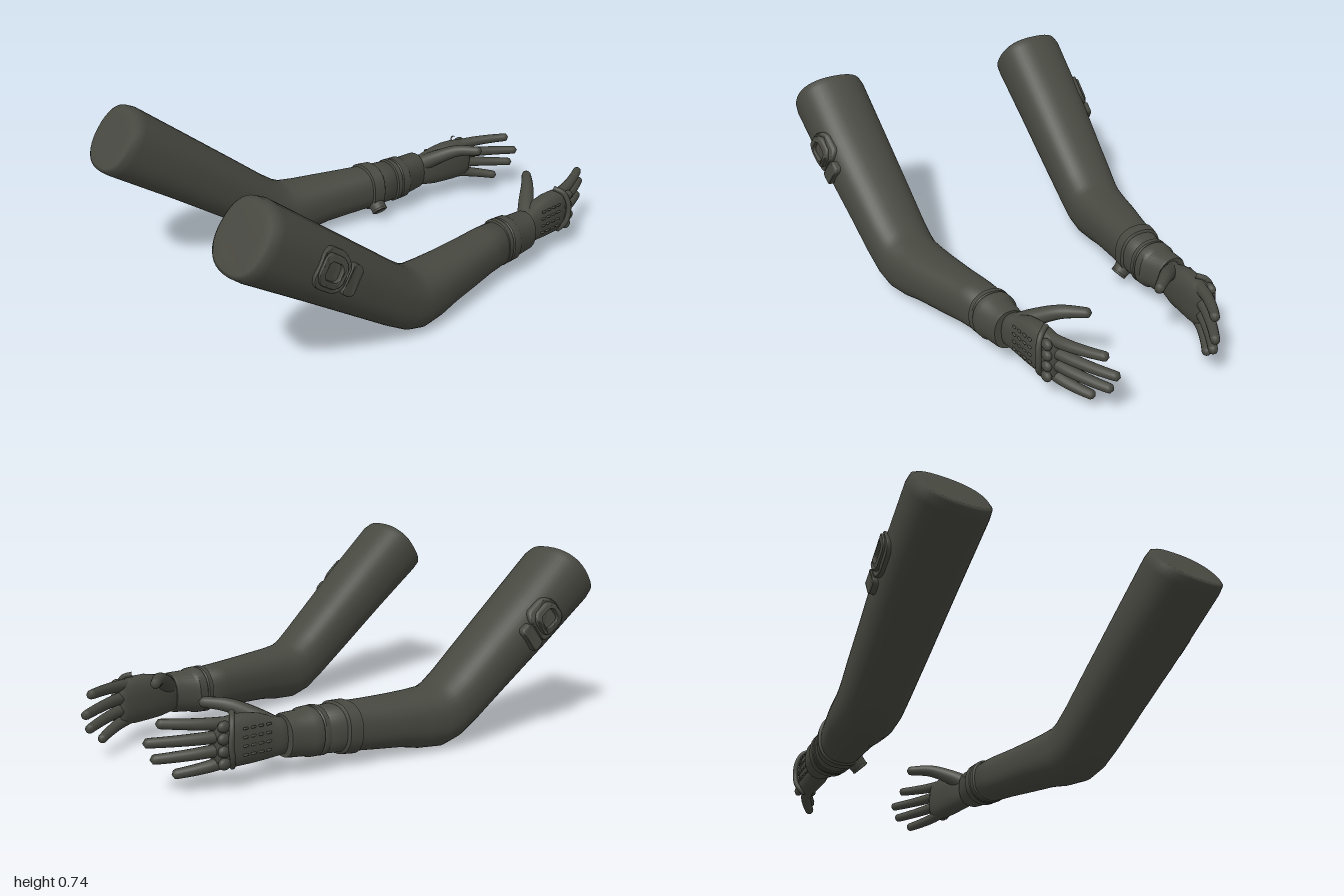
import * as THREE from 'three';
import { mergeVertices, toCreasedNormals } from 'three/addons/utils/BufferGeometryUtils.js';

const darkOlive = new THREE.MeshStandardMaterial({ color: 0x474840 });
darkOlive.name = 'darkOlive';

// Skin over rounded cross-sections: [topZ, topY, bottomZ, bottomY, innerX, outerX]
function loft(sections, power = 2.4, crease = 0) {
  const n = 40, pos = [], idx = [];
  const bend = c => Math.sign(c) * Math.abs(c) ** (2 / power);
  for (const [tz, ty, bz, by, xi, xo] of sections) {
    for (let j = 0; j < n; j++) {
      const t = (j / n) * Math.PI * 2, u = bend(Math.cos(t)), v = bend(Math.sin(t));
      pos.push((xi + xo) / 2 + u * (xo - xi) / 2, (ty + by) / 2 + v * (ty - by) / 2, (tz + bz) / 2 + v * (tz - bz) / 2);
    }
  }
  const last = sections.length - 1;
  for (let i = 0; i < last; i++) {
    for (let j = 0; j < n; j++) {
      const k = (j + 1) % n, a = i * n + j, b = i * n + k, c = a + n, d = b + n;
      idx.push(a, c, b, b, c, d);
    }
  }
  // End caps
  for (const [i, flip] of [[0, false], [last, true]]) {
    const [tz, ty, bz, by, xi, xo] = sections[i], m = pos.length / 3;
    pos.push((xi + xo) / 2, (ty + by) / 2, (tz + bz) / 2);
    for (let j = 0; j < n; j++) {
      const a = i * n + j, b = i * n + (j + 1) % n;
      idx.push(m, flip ? b : a, flip ? a : b);
    }
  }
  const g = new THREE.BufferGeometry();
  g.setAttribute('position', new THREE.Float32BufferAttribute(pos, 3));
  g.setIndex(idx);
  g.computeVertexNormals();
  return crease ? toCreasedNormals(g, crease) : g;
}

// Straight cross-section at one z
const ring = (z, top, bottom, xi, xo) => [z, top, z, bottom, xi, xo];

// Tapered tube with a rounded tip
function digit(points, r0, r1) {
  const rows = 28, sides = 14;
  const curve = new THREE.CatmullRomCurve3(points.map(p => new THREE.Vector3(...p)));
  let g = new THREE.TubeGeometry(curve, rows, 1, sides);
  const p = g.attributes.position, v = new THREE.Vector3(), len = curve.getLength();
  for (let i = 0; i < p.count; i++) {
    const t = Math.floor(i / (sides + 1)) / rows, c = curve.getPointAt(t);
    let r = r0 + (r1 - r0) * t;
    const k = Math.max(0, 1 - (1 - t) * len / r1);
    r *= Math.sqrt(Math.max(0, 1 - k * k));
    v.fromBufferAttribute(p, i).sub(c).multiplyScalar(r).add(c);
    p.setXYZ(i, v.x, v.y, v.z);
  }
  g.deleteAttribute('uv');
  g.deleteAttribute('normal');
  g = mergeVertices(g, 1e-5);
  g.computeVertexNormals();
  return g;
}

function roundRect(w, h, r, Type = THREE.Shape) {
  const s = new Type(), x = w / 2, y = h / 2;
  s.moveTo(-x + r, -y);
  s.lineTo(x - r, -y); s.absarc(x - r, -y + r, r, -Math.PI / 2, 0);
  s.lineTo(x, y - r); s.absarc(x - r, y - r, r, 0, Math.PI / 2);
  s.lineTo(-x + r, y); s.absarc(-x + r, y - r, r, Math.PI / 2, Math.PI);
  s.lineTo(-x, -y + r); s.absarc(-x + r, -y + r, r, Math.PI, Math.PI * 1.5);
  return s;
}

// Plate wrapped onto the outer side of the upper arm; a runs to the elbow, b runs up
function armPlate(shape, a0, b0, height) {
  const g = new THREE.ExtrudeGeometry(shape, { depth: 0.03, bevelEnabled: true, bevelSize: 0.005, bevelThickness: 0.005, bevelSegments: 2, curveSegments: 8 });
  const p = g.attributes.position;
  for (let i = 0; i < p.count; i++) {
    const a = p.getX(i) + a0, b = p.getY(i) + b0;
    const v = Math.min(0.95, Math.abs(b + 0.03) / 0.134);
    const drop = 0.15 * (1 - (1 - v ** 2.4) ** (1 / 2.4));
    p.setXYZ(i, a, b, p.getZ(i) - 0.035 + height - drop * 0.9 - a * 0.08);
  }
  const A = new THREE.Vector3(0, -0.59, -0.807), B = new THREE.Vector3(0, 0.807, -0.59);
  g.applyMatrix4(new THREE.Matrix4().makeBasis(A, B, new THREE.Vector3(1, 0, 0)).setPosition(0.655, 0.485, 0.66));
  g.computeVertexNormals();
  return g;
}

function createArm(side) {
  const arm = new THREE.Group();
  arm.name = side > 0 ? 'leftArm' : 'rightArm';
  const add = (name, g) => {
    if (side < 0) {
      // Mirror and turn the faces back outward
      if (!g.index) g.setIndex([...Array(g.attributes.position.count).keys()]);
      g.scale(-1, 1, 1);
      const ix = g.index.array;
      for (let i = 0; i < ix.length; i += 3) [ix[i], ix[i + 1]] = [ix[i + 1], ix[i]];
      const nm = g.attributes.normal;
      if (nm.getX(0) !== undefined) g.normalizeNormals();
    }
    const m = new THREE.Mesh(g, darkOlive);
    m.name = name;
    arm.add(m);
  };

  // Sleeve from shoulder end through the elbow to the forearm
  add('sleeve', loft([
    [0.872, 0.715, 0.978, 0.565, 0.42, 0.60],
    [0.85, 0.742, 0.998, 0.54, 0.375, 0.647],
    [0.832, 0.75, 1.0, 0.525, 0.362, 0.66],
    [0.80, 0.735, 0.97, 0.50, 0.357, 0.665],
    [0.60, 0.575, 0.72, 0.335, 0.352, 0.65],
    [0.40, 0.415, 0.50, 0.185, 0.348, 0.625],
    [0.27, 0.31, 0.345, 0.08, 0.346, 0.61],
    [0.21, 0.267, 0.26, 0.028, 0.344, 0.60],
    [0.17, 0.25, 0.18, 0.006, 0.343, 0.59],
    [0.10, 0.245, 0.08, 0.016, 0.338, 0.572],
    [0, 0.243, 0, 0.033, 0.33, 0.55],
    [-0.12, 0.243, -0.12, 0.044, 0.318, 0.517],
    [-0.25, 0.245, -0.25, 0.056, 0.302, 0.48],
    [-0.36, 0.245, -0.36, 0.066, 0.295, 0.458],
  ]));

  // Glove cuff with raised bands
  add('cuff', loft([
    ring(-0.335, 0.245, 0.066, 0.296, 0.458), ring(-0.34, 0.253, 0.058, 0.288, 0.466),
    ring(-0.36, 0.253, 0.06, 0.287, 0.464), ring(-0.365, 0.248, 0.065, 0.292, 0.459),
    ring(-0.37, 0.253, 0.061, 0.287, 0.464), ring(-0.405, 0.253, 0.064, 0.288, 0.462),
    ring(-0.415, 0.246, 0.071, 0.297, 0.454), ring(-0.495, 0.25, 0.082, 0.307, 0.445),
    ring(-0.505, 0.247, 0.085, 0.312, 0.441), ring(-0.505, 0.235, 0.10, 0.325, 0.425),
  ], 2.3, 0.7));

  // Hand
  add('palm', loft([
    ring(-0.47, 0.235, 0.10, 0.325, 0.42), ring(-0.53, 0.24, 0.092, 0.312, 0.408),
    ring(-0.58, 0.262, 0.087, 0.30, 0.402), ring(-0.64, 0.276, 0.085, 0.295, 0.397),
    ring(-0.70, 0.278, 0.085, 0.292, 0.389), ring(-0.75, 0.272, 0.09, 0.292, 0.374),
    ring(-0.775, 0.262, 0.10, 0.30, 0.355),
  ], 2.5));
  const fingers = [ // base y, tip y, tip x, tip z
    ['indexFinger', 0.25, 0.27, 0.232, -0.955], ['middleFinger', 0.205, 0.2, 0.208, -0.995],
    ['ringFinger', 0.158, 0.138, 0.22, -0.975], ['littleFinger', 0.112, 0.075, 0.25, -0.905],
  ];
  for (const [name, y0, y1, x, z] of fingers) {
    const at = (t, sag) => [0.338 + (x - 0.338) * t + sag, y0 + (y1 - y0) * t, -0.72 + (z + 0.72) * t];
    add(name, digit([at(0, 0), at(0.35, 0.012), at(0.7, 0.01), at(1, 0)], 0.025, 0.018));
    const pad = new THREE.SphereGeometry(0.022, 14, 10);
    pad.scale(0.8, 1, 1.2);
    pad.translate(0.366, y0, -0.757);
    add('knucklePad', pad);
  }
  add('thumb', digit([[0.35, 0.205, -0.53], [0.30, 0.24, -0.575], [0.235, 0.277, -0.64], [0.148, 0.286, -0.715]], 0.038, 0.019));

  // Raised trim over the knuckles and along the back of the hand
  add('knuckleTrim', digit([[0.335, 0.288, -0.70], [0.372, 0.272, -0.725], [0.39, 0.23, -0.74], [0.392, 0.18, -0.745], [0.386, 0.13, -0.735], [0.352, 0.084, -0.715]], 0.011, 0.011));
  for (let row = 0; row < 4; row++) {
    for (let col = 0; col < 4; col++) {
      const rib = new THREE.CapsuleGeometry(0.005, 0.012, 3, 8);
      rib.rotateX(Math.PI / 2);
      rib.translate(0.403 - col * 0.0035, 0.235 - row * 0.033, -0.585 - col * 0.032);
      add('backRib', rib);
    }
  }

  // Shoulder patch: rounded plate, raised frame and small tab
  add('patchPlate', armPlate(roundRect(0.14, 0.14, 0.045), 0, 0, 0.01));
  const frame = roundRect(0.115, 0.105, 0.038);
  frame.holes.push(roundRect(0.085, 0.075, 0.026, THREE.Path));
  add('patchFrame', armPlate(frame, -0.005, 0, 0.018));
  add('patchTab', armPlate(roundRect(0.05, 0.105, 0.015), 0.105, -0.005, 0.016));

  // Wrist instrument worn on the right arm only
  if (side < 0) {
    add('wristStrap', loft([
      ring(-0.205, 0.243, 0.053, 0.31, 0.49), ring(-0.212, 0.253, 0.044, 0.298, 0.502),
      ring(-0.262, 0.254, 0.049, 0.292, 0.488), ring(-0.27, 0.244, 0.059, 0.302, 0.474),
    ], 2.4, 0.7));
    const tilt = g => g.rotateZ(Math.PI * 0.75).translate(0.318, 0.075, -0.238);
    add('instrumentCase', tilt(new THREE.CylinderGeometry(0.034, 0.038, 0.044, 24)));
    add('instrumentRim', tilt(new THREE.TorusGeometry(0.03, 0.006, 8, 24).rotateX(Math.PI / 2).translate(0, 0.022, 0)));
  }
  return arm;
}

export function createModel() {
  const model = new THREE.Group();
  model.name = 'glovedArms';
  model.add(createArm(1), createArm(-1));
  return model;
}
